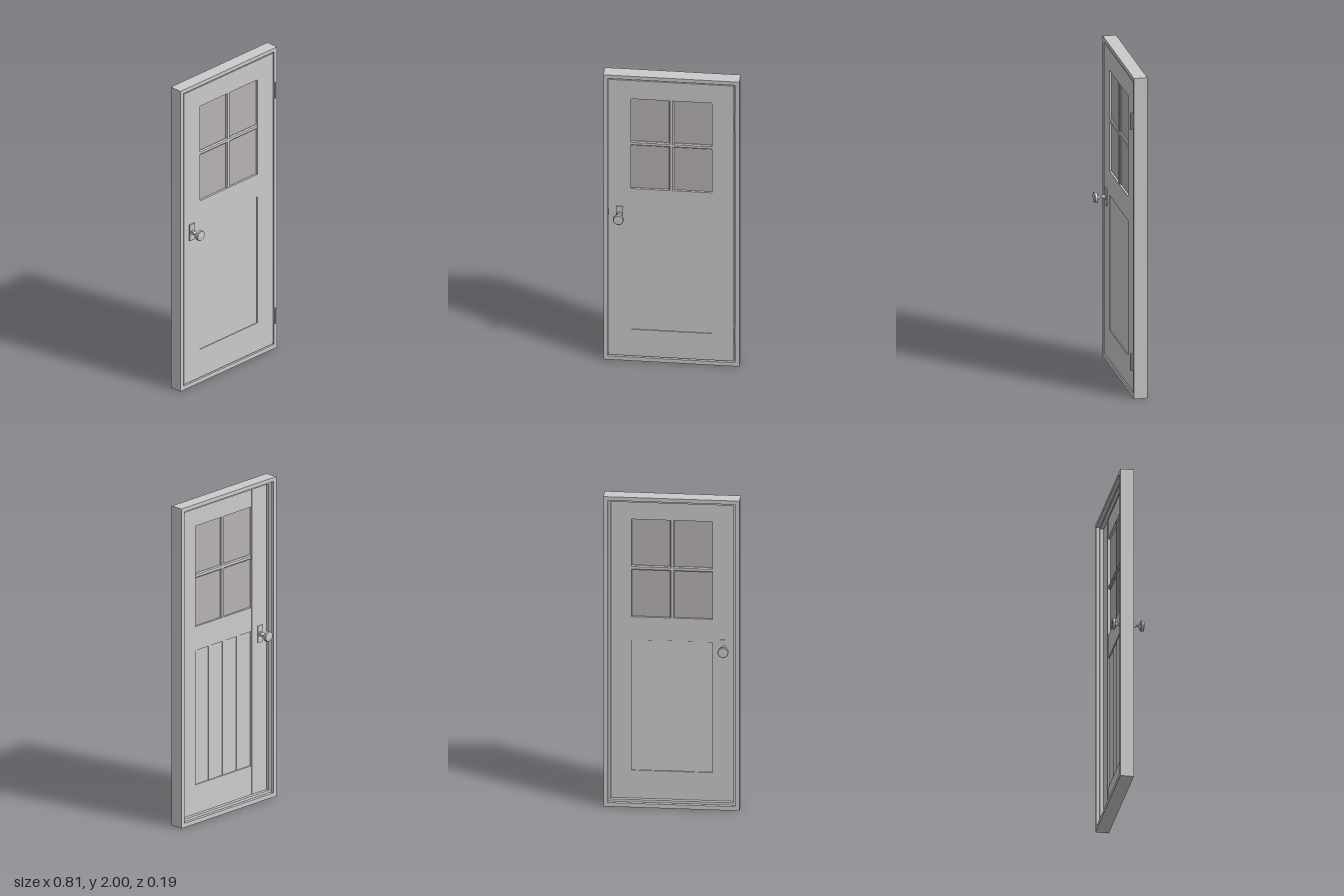
import * as THREE from 'three';

const grey = new THREE.MeshStandardMaterial({ color: 0xcccccc });
const glassMat = new THREE.MeshStandardMaterial({ color: 0xb9b3b3 });

function add(parent, name, geometry, material = grey) {
  const mesh = new THREE.Mesh(geometry, material);
  mesh.name = name;
  parent.add(mesh);
  return mesh;
}

// Box given by its limits on each axis
function block(x0, x1, y0, y1, z0, z1) {
  return new THREE.BoxGeometry(x1 - x0, y1 - y0, z1 - z0)
    .translate((x0 + x1) / 2, (y0 + y1) / 2, (z0 + z1) / 2);
}

function rectangle(Type, [x0, x1, y0, y1]) {
  return new Type([[x0, y0], [x1, y0], [x1, y1], [x0, y1]].map(p => new THREE.Vector2(...p)));
}

// Flat board with rectangular openings
function board(outer, holes, z0, z1) {
  const shape = rectangle(THREE.Shape, outer);
  shape.holes = holes.map(h => rectangle(THREE.Path, h));
  return new THREE.ExtrudeGeometry(shape, { depth: z1 - z0, bevelEnabled: false }).translate(0, 0, z0);
}

// Chamfered glazing bar running up the y axis, centred at the origin
function glazingBar(length) {
  const points = [[0.014, -0.008], [0.014, 0.008], [0.008, 0.014], [-0.008, 0.014],
    [-0.014, 0.008], [-0.014, -0.008], [-0.008, -0.014], [0.008, -0.014]];
  const shape = new THREE.Shape(points.map(p => new THREE.Vector2(...p)));
  return new THREE.ExtrudeGeometry(shape, { depth: length, bevelEnabled: false })
    .translate(0, 0, -length / 2).rotateX(Math.PI / 2);
}

// Plate, turned stem and round knob, facing +z from z = 0
function knobSet() {
  const g = new THREE.Group();
  add(g, 'knobPlate', block(-0.021, 0.021, -0.053, 0.053, 0, 0.008));
  const profile = [[0, 0.006], [0.017, 0.006], [0.017, 0.012], [0.011, 0.014], [0.013, 0.019],
    [0.013, 0.024], [0.009, 0.03], [0.006, 0.036], [0.006, 0.043], [0.010, 0.048],
    [0.019, 0.054], [0.021, 0.059], [0.029, 0.059], [0.032, 0.062], [0.032, 0.076],
    [0.029, 0.079], [0, 0.08]].map(p => new THREE.Vector2(...p));
  const knob = add(g, 'knob', new THREE.LatheGeometry(profile, 32).rotateX(Math.PI / 2).toNonIndexed());
  knob.geometry.computeVertexNormals();
  return g;
}

export function createModel() {
  const model = new THREE.Group();
  model.name = 'door';

  // Frame with a narrower stop behind the leaf
  const opening = [-0.378, 0.378, 0.026, 1.976];
  add(model, 'frame', board([-0.404, 0.404, 0, 2], [opening], -0.063, 0.018));
  add(model, 'doorStop', board(opening, [[-0.362, 0.362, 0.042, 1.96]], -0.043, -0.021));

  // Leaf: one board with window and panel openings, stiles slightly proud at the back
  const leaf = new THREE.Group();
  leaf.name = 'leaf';
  model.add(leaf);
  const windowHole = [-0.24, 0.24, 1.21, 1.84];
  const panelHole = [-0.24, 0.24, 0.22, 1.06];
  add(leaf, 'leafBoard', board([-0.372, 0.372, 0.034, 1.969], [windowHole, panelHole], -0.016, 0.016));
  for (const s of [-1, 1]) {
    const [a, b] = [0.24 * s, 0.372 * s];
    add(leaf, 'stile', block(Math.min(a, b), Math.max(a, b), 0.034, 1.969, -0.02, -0.015));
  }

  // Lower panel: flat front, four overlapping planks at the back
  const planks = new THREE.Shape();
  planks.moveTo(0.24, 0.011);
  planks.lineTo(-0.24, 0.011);
  for (let i = 0; i < 4; i++) {
    planks.lineTo(-0.24 + i * 0.12, -0.007);
    planks.lineTo(-0.12 + i * 0.12, -0.011);
  }
  add(leaf, 'plankPanel', new THREE.ExtrudeGeometry(planks, { depth: 0.84, bevelEnabled: false })
    .rotateX(Math.PI / 2).translate(0, 1.06, 0));

  // Window: glass and crossed glazing bars
  add(leaf, 'glass', block(-0.24, 0.24, 1.21, 1.84, -0.003, 0.003), glassMat);
  add(leaf, 'uprightBar', glazingBar(0.63)).position.y = 1.525;
  const cross = add(leaf, 'crossBar', glazingBar(0.48));
  cross.rotation.z = Math.PI / 2;
  cross.position.y = 1.525;

  // Knobs on both faces and the latch between leaf and frame
  for (const s of [-1, 1]) {
    const set = knobSet();
    set.name = s > 0 ? 'frontKnob' : 'backKnob';
    set.position.set(-0.308, 1.03, s > 0 ? 0.016 : -0.018);
    if (s < 0) set.rotation.y = Math.PI;
    model.add(set);
  }
  add(model, 'latch', block(-0.382, -0.368, 1.018, 1.044, -0.008, 0.008));

  // Hinges: thin leaf in the gap and a knuckle in front
  for (const y of [0.222, 1.725]) {
    const hinge = new THREE.Group();
    hinge.name = 'hinge';
    hinge.position.set(0.375, y, 0);
    add(hinge, 'hingeLeaf', block(-0.0015, 0.0015, -0.052, 0.052, -0.014, 0.026));
    add(hinge, 'hingeKnuckle', new THREE.CylinderGeometry(0.005, 0.005, 0.104, 16)).position.z = 0.029;
    model.add(hinge);
  }
  return model;
}
